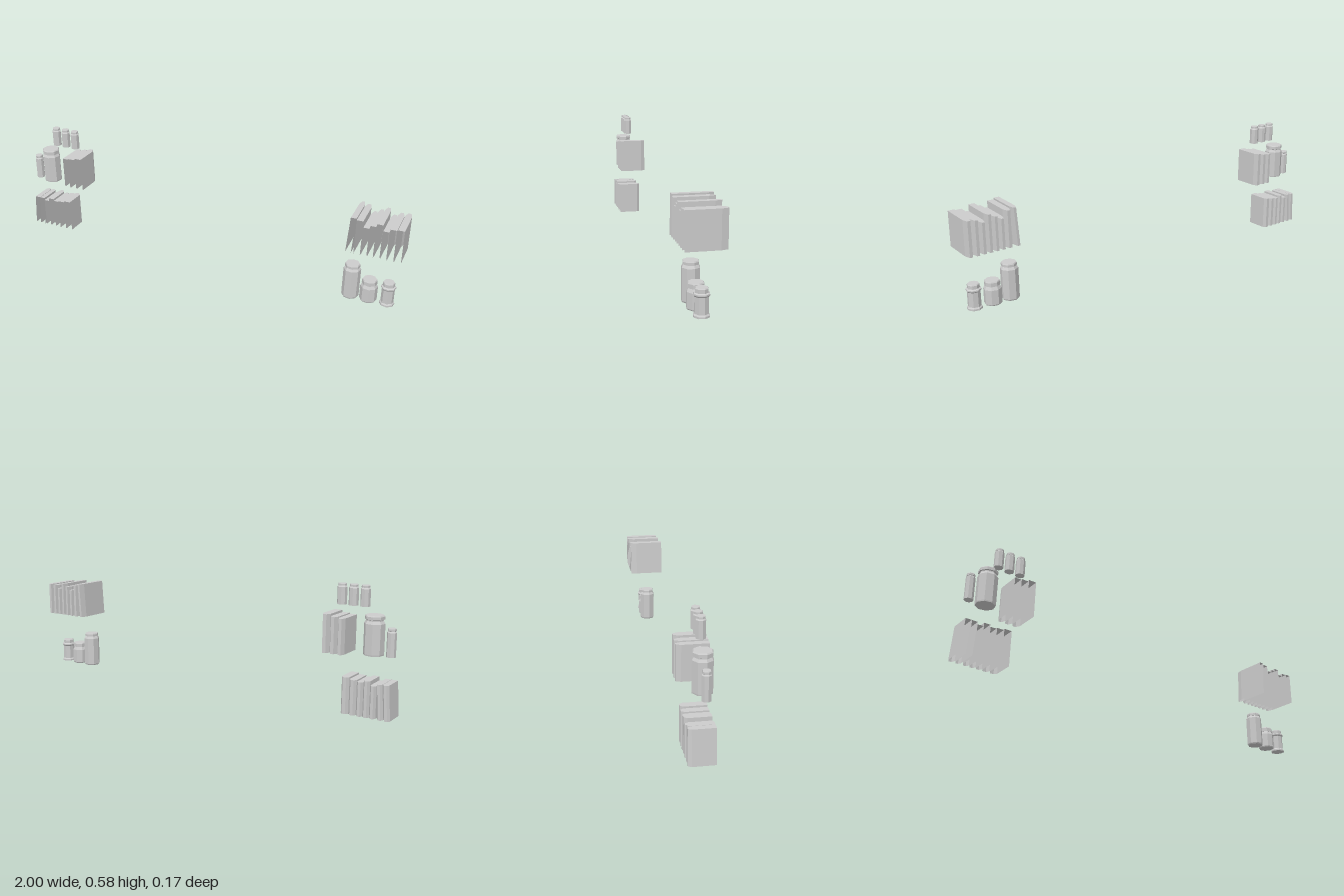
import * as THREE from 'three';

const bookMaterial = new THREE.MeshStandardMaterial({ color: 0xcccccc, flatShading: true, side: THREE.DoubleSide });
const jarMaterial = new THREE.MeshStandardMaterial({ color: 0xcccccc, flatShading: true });

// Hollow book: two covers, bevelled spine at the back and a top; open at the front and below
function makeBook({ x0, x1, y0, y1, front, back, bevel, lean = 0 }) {
  const cx = (x0 + x1) / 2, w = (x1 - x0) / 2;
  const outline = [[-w, front], [-w, back + bevel], [-w * 0.45, back], [w * 0.45, back], [w, back + bevel], [w, front]];
  const low = outline.map(([x, z]) => [cx + x, y0, z]);
  const high = outline.map(([x, z]) => [cx + x + lean, y1, z]);
  const pos = [];
  for (let i = 0; i < outline.length - 1; i++) {
    pos.push(...low[i], ...high[i], ...high[i + 1], ...low[i], ...high[i + 1], ...low[i + 1]);
    if (i > 0) pos.push(...high[0], ...high[i + 1], ...high[i]);
  }
  const geometry = new THREE.BufferGeometry();
  geometry.setAttribute('position', new THREE.Float32BufferAttribute(pos, 3));
  geometry.computeVertexNormals();
  const mesh = new THREE.Mesh(geometry, bookMaterial);
  mesh.name = 'book';
  return mesh;
}

// Each book is [left edge, right edge, top, lean]
function makeBookRow(name, books, shelf) {
  const row = new THREE.Group();
  row.name = name;
  for (const [x0, x1, y1, lean] of books) row.add(makeBook({ x0, x1, y1, lean, ...shelf }));
  return row;
}

// Faceted jar turned from a profile of [radius, height] points
function makeJar(name, x, y, profile, turn = 0) {
  const points = [[0, 0], ...profile, [0, profile[profile.length - 1][1]]].map(([r, h]) => new THREE.Vector2(r, h));
  const mesh = new THREE.Mesh(new THREE.LatheGeometry(points, 8), jarMaterial);
  mesh.name = name;
  mesh.position.set(x, y, 0.004);
  mesh.rotation.y = turn;
  return mesh;
}

export function createModel() {
  const model = new THREE.Group();
  model.name = 'shelfContents';

  // Rows of books
  model.add(makeBookRow('lowerRightHandBooks', [
    [-1, -0.972, 0.168, 0.011], [-0.968, -0.942, 0.168, 0.009], [-0.933, -0.905, 0.157, 0],
    [-0.903, -0.874, 0.174, 0], [-0.872, -0.844, 0.165, 0], [-0.841, -0.808, 0.17, 0], [-0.806, -0.77, 0.177, 0],
  ], { y0: 0.01, front: 0.044, back: -0.07, bevel: 0.014 }));
  model.add(makeBookRow('upperRightHandBooks', [
    [-0.78, -0.749, 0.437, 0], [-0.746, -0.712, 0.441, 0], [-0.709, -0.672, 0.45, 0],
  ], { y0: 0.276, front: 0.055, back: -0.084, bevel: 0.022 }));
  model.add(makeBookRow('leftHandBooks', [
    [0.747, 0.773, 0.457, 0.011], [0.785, 0.815, 0.45, 0], [0.818, 0.845, 0.42, 0], [0.848, 0.874, 0.436, 0],
    [0.877, 0.904, 0.451, 0], [0.907, 0.934, 0.422, 0], [0.937, 0.966, 0.438, 0], [0.969, 1, 0.442, 0],
  ], { y0: 0.279, front: 0.088, back: -0.087, bevel: 0.03 }));

  // Jars below the left-hand books
  model.add(makeJar('tallJar', 0.77, 0, [
    [0.038, 0], [0.041, 0.006], [0.041, 0.148], [0.033, 0.161], [0.036, 0.161], [0.036, 0.172], [0.033, 0.177],
  ], 0.2));
  model.add(makeJar('squatJar', 0.857, 0, [
    [0.038, 0], [0.041, 0.005], [0.041, 0.074], [0.033, 0.09], [0.036, 0.09], [0.036, 0.108], [0.033, 0.113],
  ], 0.2));
  model.add(makeJar('rimmedJar', 0.947, 0, [
    [0.035, 0], [0.035, 0.008], [0.03, 0.014], [0.03, 0.084], [0.035, 0.09],
    [0.035, 0.096], [0.028, 0.1], [0.028, 0.116], [0.025, 0.12],
  ], 0.2));

  // Jars beside the right-hand books
  model.add(makeJar('slimJar', -0.967, 0.278, [
    [0.021, 0], [0.021, 0.108], [0.017, 0.113], [0.019, 0.115], [0.019, 0.124], [0.017, 0.127],
  ], 0.2));
  model.add(makeJar('wideJar', -0.887, 0.278, [
    [0.045, 0], [0.046, 0.006], [0.046, 0.14], [0.039, 0.152], [0.039, 0.157],
    [0.044, 0.159], [0.044, 0.172], [0.04, 0.177],
  ], 0.2));

  // Three matching little jars on top
  for (const x of [-0.84, -0.785, -0.73]) {
    model.add(makeJar('smallJar', x, 0.487, [
      [0.022, 0], [0.022, 0.077], [0.017, 0.083], [0.019, 0.083], [0.019, 0.091], [0.018, 0.093],
    ], 0.2));
  }
  return model;
}
